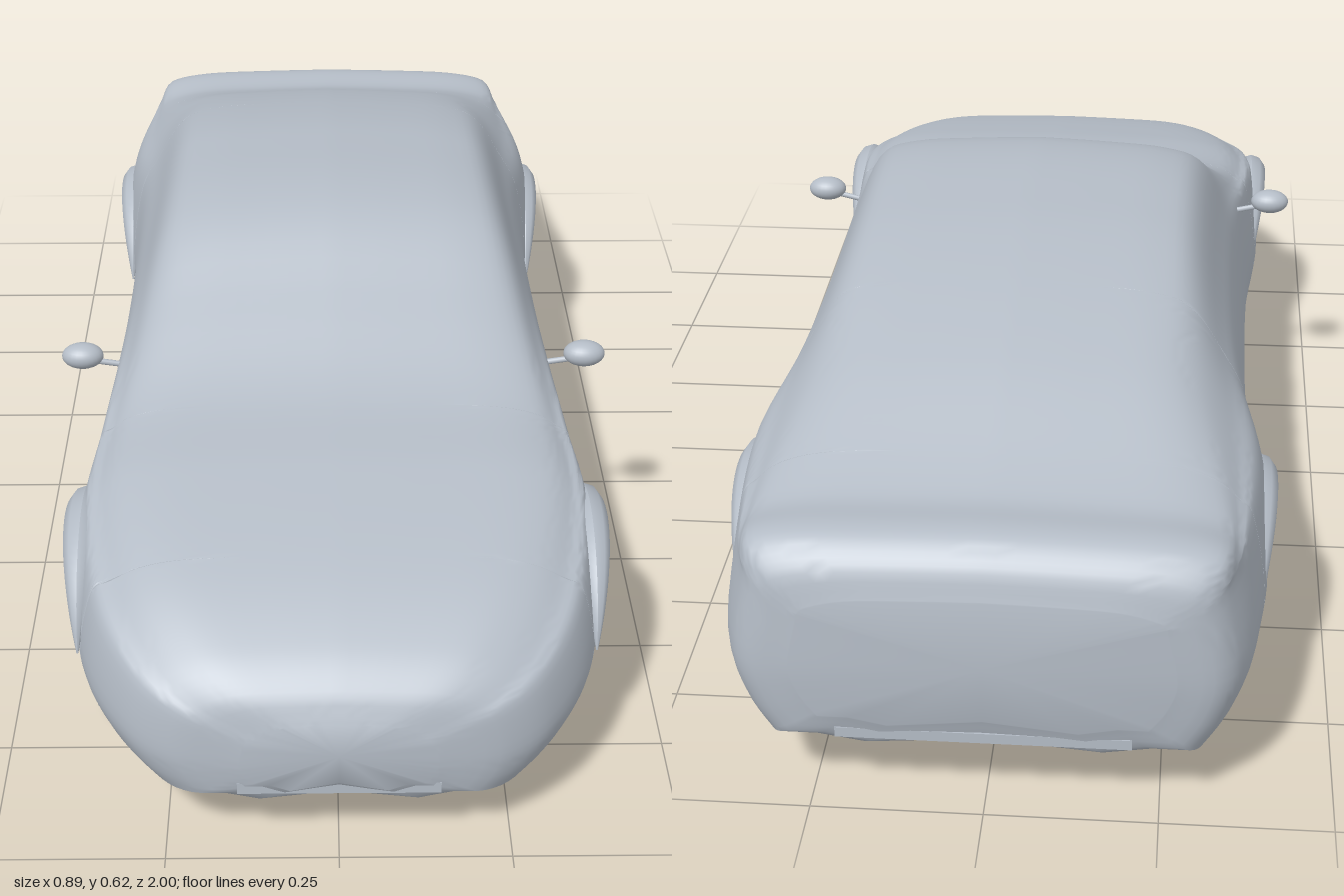
import * as THREE from 'three';
import { toCreasedNormals } from 'three/addons/utils/BufferGeometryUtils.js';

const WHEEL_Y = 0.147, WHEEL_R = 0.147, ARCH_R = 0.166, AXLES = [0.61, -0.6];

// Body stations: z, floor, half width, belt y, roof edge x, roof edge y, top
const STATIONS = [
  [0.995, 0.13, 0.14, 0.2, 0.09, 0.225, 0.235],
  [0.975, 0.1, 0.235, 0.232, 0.165, 0.26, 0.272],
  [0.92, 0.092, 0.31, 0.262, 0.225, 0.297, 0.315],
  [0.8, 0.088, 0.375, 0.3, 0.28, 0.345, 0.365],
  [0.6, 0.082, 0.405, 0.345, 0.32, 0.39, 0.41],
  [0.42, 0.078, 0.392, 0.365, 0.315, 0.415, 0.438],
  [0.25, 0.077, 0.377, 0.388, 0.295, 0.49, 0.52],
  [0.08, 0.077, 0.371, 0.39, 0.279, 0.565, 0.605],
  [-0.2, 0.077, 0.37, 0.39, 0.272, 0.572, 0.61],
  [-0.4, 0.077, 0.378, 0.39, 0.275, 0.545, 0.583],
  [-0.6, 0.08, 0.405, 0.38, 0.285, 0.49, 0.53],
  [-0.84, 0.095, 0.385, 0.365, 0.325, 0.41, 0.437],
  [-0.94, 0.1, 0.362, 0.36, 0.325, 0.413, 0.436],
  [-0.985, 0.12, 0.328, 0.345, 0.29, 0.382, 0.403],
  [-1, 0.16, 0.27, 0.32, 0.24, 0.34, 0.36],
];

// Smooth interpolation of the stations at any z
function station(z) {
  const S = STATIONS;
  let i = 0;
  while (i < S.length - 2 && z < S[i + 1][0]) i++;
  const slope = (k, c) => {
    const a = S[Math.max(k - 1, 0)], b = S[Math.min(k + 1, S.length - 1)];
    return (b[c] - a[c]) / (b[0] - a[0]);
  };
  const h = S[i + 1][0] - S[i][0], t = (z - S[i][0]) / h, t2 = t * t, t3 = t2 * t;
  return S[i].map((p, c) => (2 * t3 - 3 * t2 + 1) * p + (t3 - 2 * t2 + t) * h * slope(i, c) +
    (3 * t2 - 2 * t3) * S[i + 1][c] + (t3 - t2) * h * slope(i + 1, c));
}

// One closed cross-section; the side starts at the wheel arch where there is one
function section(z, archY) {
  const [, b, W, yB, xR, yR, top] = station(z);
  const xB = W * 0.945, h = yB - b, v = (x, y) => new THREE.Vector2(x, y);
  const side = new THREE.SplineCurve([
    v(W * 0.86, b), v(W * 0.95, b + h * 0.22), v(W, b + h * 0.52), v(xB, yB),
    v((xB + xR) * 0.51, (yB + yR) / 2), v(xR, yR),
    v(xR * 0.78, yR + (top - yR) * 0.65), v(xR * 0.4, yR + (top - yR) * 0.88), v(0, top),
  ]);
  const low = Math.max(b, archY);
  let t0 = 0, t1 = 0.5;
  if (low > b) {
    for (let k = 0; k < 24; k++) {
      const m = (t0 + t1) / 2;
      if (side.getPoint(m).y < low) t0 = m; else t1 = m;
    }
  }
  const well = Math.min(0.26, W * 0.7), n = 36;
  const half = [v(0, b + 0.003), v(well * 0.71, b - 0.011), v(well, b), v(well, low)];
  for (let k = 0; k <= n; k++) half.push(side.getPoint(t0 + (1 - t0) * k / n));
  half[half.length - 1].x = 0;
  const mirror = half.slice(1, -1).reverse().map(p => v(-p.x, p.y));
  return [...half, ...mirror].map(p => [p.x, p.y, z]);
}

function bodyGeometry() {
  // Columns along z, with doubled columns at both ends of each arch
  const cols = [];
  for (let k = 0; k <= 100; k++) {
    const z = 0.9975 * Math.cos(Math.PI * k / 100) - 0.0025;
    if (AXLES.every(a => Math.abs(z - a) > ARCH_R + 0.003)) cols.push([z, 0]);
  }
  for (const a of AXLES) {
    cols.push([a + ARCH_R + 0.0005, 0], [a - ARCH_R - 0.0005, 0]);
    for (let k = 0; k <= 28; k++) {
      const u = Math.PI * k / 28;
      cols.push([a + ARCH_R * Math.cos(u), WHEEL_Y + ARCH_R * Math.sin(u)]);
    }
  }
  cols.sort((p, q) => q[0] - p[0]);
  const rings = cols.map(([z, y]) => section(z, y));
  // Close nose and tail
  const collapse = (ring, y) => ring.map(p => [0, y, p[2]]);
  rings.unshift(collapse(rings[0], 0.18));
  rings.push(collapse(rings[rings.length - 1], 0.25));
  const n = rings[0].length, index = [];
  for (let j = 0; j < rings.length - 1; j++) {
    for (let i = 0; i < n; i++) {
      const a = j * n + i, b = j * n + (i + 1) % n;
      index.push(a, a + n, b, b, a + n, b + n);
    }
  }
  const g = new THREE.BufferGeometry();
  g.setAttribute('position', new THREE.Float32BufferAttribute(rings.flat(2), 3));
  g.setIndex(index);
  return toCreasedNormals(g, 0.7);
}

// Crescent lip over a wheel arch, thickest at its top
function flareGeometry() {
  const arc = Math.PI * 0.8, R = 0.18;
  const g = new THREE.TorusGeometry(R, 0.03, 10, 32, arc);
  const p = g.attributes.position;
  for (let i = 0; i < p.count; i++) {
    const x = p.getX(i), y = p.getY(i), r = Math.hypot(x, y), a = Math.atan2(y, x);
    const s = 0.05 + 0.9 * Math.sin(Math.PI * THREE.MathUtils.clamp(a / arc, 0, 1));
    const k = (R + (r - R) * s) / r;
    p.setXYZ(i, x * k, y * k, p.getZ(i) * s);
  }
  g.computeVertexNormals();
  g.rotateZ((Math.PI - arc) / 2);
  return g.rotateY(Math.PI / 2);
}

export function createModel() {
  const paint = new THREE.MeshStandardMaterial({ color: 0xb4bcc6 });
  paint.name = 'silver grey';
  const model = new THREE.Group();
  model.name = 'car';
  const add = (name, geometry, parent = model, x = 0, y = 0, z = 0) => {
    const m = new THREE.Mesh(geometry, paint);
    m.name = name;
    m.position.set(x, y, z);
    parent.add(m);
    return m;
  };

  add('body', bodyGeometry());

  // Bumper lips
  add('frontGrilleLip', new THREE.BoxGeometry(0.29, 0.018, 0.04), model, 0, 0.121, 0.972);
  add('rearBumperLip', new THREE.BoxGeometry(0.42, 0.016, 0.03), model, 0, 0.13, -0.98);

  // Wheels: tyre with recessed rim, hub and spokes, outer face towards +x
  const profile = [[0, -0.02], [0.1, -0.02], [0.104, -0.044], [0.125, -0.05], [0.14, -0.047],
    [WHEEL_R, -0.038], [WHEEL_R, 0.038], [0.14, 0.047], [0.125, 0.05], [0.108, 0.047],
    [0.1, 0.04], [0.098, 0.012], [0, 0.012]].map(p => new THREE.Vector2(...p));
  const tyre = toCreasedNormals(new THREE.LatheGeometry(profile, 48), 0.6).rotateZ(-Math.PI / 2);
  const hub = new THREE.CylinderGeometry(0.016, 0.02, 0.026, 20).rotateZ(-Math.PI / 2);
  const spoke = new THREE.CylinderGeometry(0.009, 0.005, 0.088, 4, 1)
    .rotateY(Math.PI / 4).translate(0, 0.056, 0);
  const flare = flareGeometry();

  for (const side of [1, -1]) {
    const sideName = side > 0 ? 'left' : 'right';
    AXLES.forEach((z, i) => {
      const wheel = new THREE.Group();
      wheel.name = sideName + (i ? 'RearWheel' : 'FrontWheel');
      wheel.position.set(side * 0.32, WHEEL_Y, z);
      if (side < 0) wheel.rotation.y = Math.PI;
      add('tyre', tyre, wheel);
      add('hub', hub, wheel, 0.024);
      for (let k = 0; k < 12; k++) {
        add('spoke', spoke, wheel, 0.026).rotation.x = k * Math.PI / 6;
      }
      model.add(wheel);
      add(sideName + (i ? 'RearFlare' : 'FrontFlare'), flare, model, side * 0.385, WHEEL_Y, z);
    });

    // Door mirror on a thin stalk
    const shell = add(sideName + 'Mirror', new THREE.SphereGeometry(1, 24, 16), model,
      side * 0.411, 0.419, 0.265);
    shell.scale.set(0.034, 0.021, 0.025);
    const path = new THREE.LineCurve3(new THREE.Vector3(side * 0.33, 0.397, 0.26),
      new THREE.Vector3(side * 0.395, 0.41, 0.265));
    add(sideName + 'MirrorStalk', new THREE.TubeGeometry(path, 1, 0.005, 8));
  }
  return model;
}
